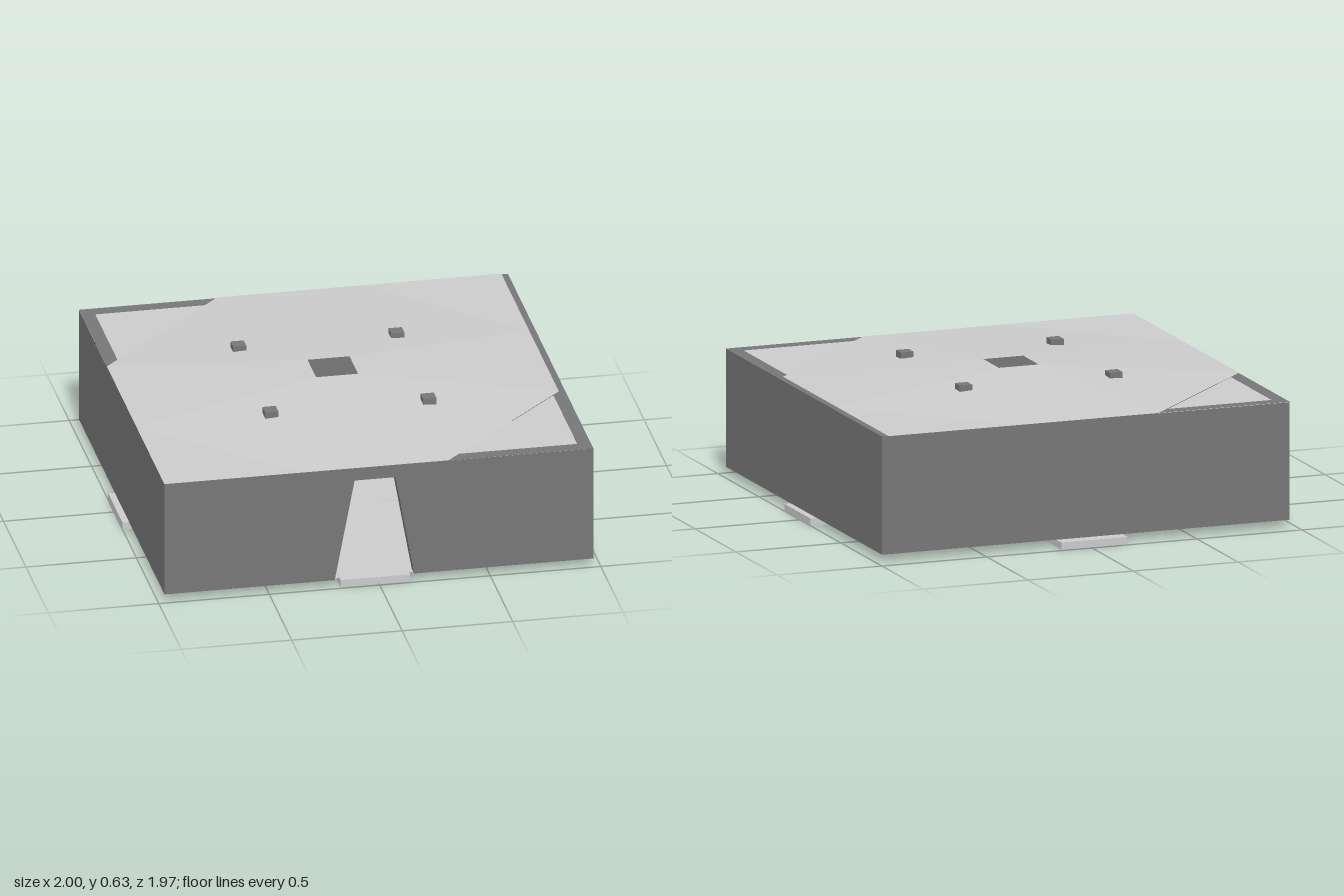
import * as THREE from 'three';

const light = new THREE.MeshStandardMaterial({ color: 0xcccccc });
const thin = new THREE.MeshStandardMaterial({ color: 0xcccccc, side: THREE.DoubleSide });
const dark = new THREE.MeshStandardMaterial({ color: 0x777777 });

const FLOOR = 0.033, WALL_TOP = 0.57, WALL = 0.06;

function add(parent, name, geometry, material) {
  const mesh = new THREE.Mesh(geometry, material);
  mesh.name = name;
  parent.add(mesh);
  return mesh;
}

// Box given by its two extreme corners
function block(parent, name, [x0, y0, z0], [x1, y1, z1], material) {
  const mesh = add(parent, name, new THREE.BoxGeometry(x1 - x0, y1 - y0, z1 - z0), material);
  mesh.position.set((x0 + x1) / 2, (y0 + y1) / 2, (z0 + z1) / 2);
  return mesh;
}

// Shallow roof: square opening, eight sloping facets and four flat corners
function roofGeometry() {
  const h = 0.956, t = 0.33, i = 0.095, eave = WALL_TOP + 0.001, top = 0.63;
  const points = [];
  const turn = (x, z, k) => {
    for (let n = 0; n < k; n++) [x, z] = [z, -x];
    return [x, z];
  };
  const push = (k, y, ...corners) => corners.forEach(([x, z, high]) => {
    const [px, pz] = turn(x, z, k);
    points.push(px, high ? top : y, pz);
  });
  for (let k = 0; k < 4; k++) {
    const I = [i, i, true], A = [h, t], B = [t, h], C = [h, h];
    const nextI = [i, -i, true], nextB = [h, -t];
    push(k, eave, I, B, A, I, A, nextB, I, nextB, nextI);
    // alternate flat corners sit just under the wall tops
    push(k, k % 2 ? eave : WALL_TOP - 0.001, B, C, A);
  }
  const geometry = new THREE.BufferGeometry();
  geometry.setAttribute('position', new THREE.Float32BufferAttribute(points, 3));
  geometry.computeVertexNormals();
  return geometry;
}

export function createModel() {
  const model = new THREE.Group();
  model.name = 'squareHall';

  // Crossing walkways under the hall
  block(model, 'sideWalkway', [-1, 0, -0.13], [1, FLOOR, 0.19], light);
  block(model, 'rearWalkway', [-0.175, 0, -0.985], [0.14, FLOOR, -0.13], light);
  block(model, 'frontWalkway', [-0.175, 0, 0.19], [0.14, FLOOR, 0.985], light);

  // Floor sheet
  const floor = add(model, 'floor', new THREE.PlaneGeometry(1.9, 1.87), thin);
  floor.rotation.x = -Math.PI / 2;
  floor.position.set(-0.015, FLOOR - 0.001, 0.025);

  // Walls
  const walls = new THREE.Group();
  walls.name = 'walls';
  model.add(walls);
  block(walls, 'backWall', [-0.97, FLOOR, -0.925], [0.97, WALL_TOP, -0.925 + WALL], dark);
  for (const s of [-1, 1]) {
    const wall = block(walls, s > 0 ? 'leftWall' : 'rightWall',
      [0.97 - WALL, FLOOR, -0.925 + WALL], [0.97, WALL_TOP, 0.98 - WALL], dark);
    wall.position.x *= s;
  }

  // Front wall with tapering doorway
  const front = new THREE.Shape([
    [-0.97, FLOOR], [-0.2, FLOOR], [-0.11, 0.51], [0.075, 0.51],
    [0.16, FLOOR], [0.97, FLOOR], [0.97, WALL_TOP], [-0.97, WALL_TOP],
  ].map(([x, y]) => new THREE.Vector2(x, y)));
  add(walls, 'frontWall', new THREE.ExtrudeGeometry(front, { depth: WALL, bevelEnabled: false }), dark)
    .position.z = 0.98 - WALL;

  // Roof
  add(model, 'roof', roofGeometry(), thin).position.set(-0.015, 0, 0.025);

  // Columns rising through the roof
  for (const x of [-0.375, 0.34]) {
    for (const z of [-0.305, 0.41]) {
      block(model, 'column', [x - 0.03, FLOOR - 0.002, z - 0.03], [x + 0.03, 0.628, z + 0.03], dark);
    }
  }

  // Tapered pedestal with a floating orb above it
  const pedestal = new THREE.CylinderGeometry(0.03 * Math.SQRT2, 0.06 * Math.SQRT2, 0.091, 4).toNonIndexed();
  pedestal.rotateY(Math.PI / 4);
  pedestal.computeVertexNormals();
  add(model, 'pedestal', pedestal, dark).position.set(-0.018, 0.0455, 0.025);
  add(model, 'orb', new THREE.SphereGeometry(0.028, 24, 16), light).position.set(-0.018, 0.155, 0.025);

  return model;
}
